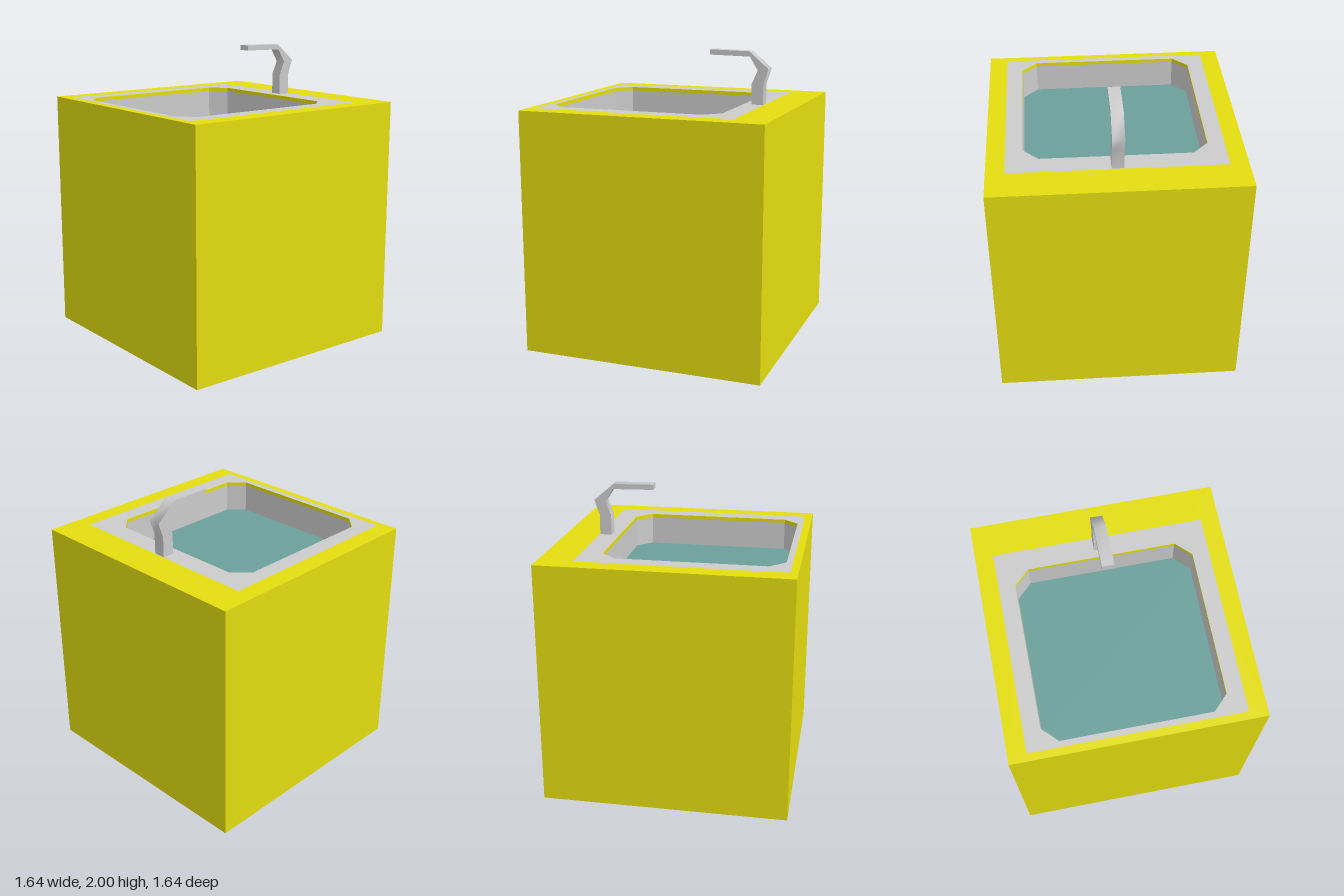
import * as THREE from 'three';
import { toCreasedNormals } from 'three/addons/utils/BufferGeometryUtils.js';

const HALF = 0.82, TOP = 1.64, BASIN_Z = 0.14, FLOOR = 1.42, LIP = 0.025;

const material = (color) => new THREE.MeshStandardMaterial({ color });
const yellow = material(0xe4dd10);
const grey = material(0xcccccc);
const teal = material(0x6b9f9a);

// Rectangle with clipped corners in plan; plan y is -z
function plan(halfW, halfD, centreZ, cut = 0) {
  const corners = [[1, -1], [1, 1], [-1, 1], [-1, -1]];
  const points = [];
  corners.forEach(([sx, sy], i) => {
    const a = new THREE.Vector2(sx * (halfW - cut), sy * halfD - centreZ);
    const b = new THREE.Vector2(sx * halfW, sy * (halfD - cut) - centreZ);
    if (cut === 0) points.push(a);
    else points.push(...(i % 2 ? [b, a] : [a, b]));
  });
  return points;
}

const basin = (grow = 0) => plan(0.59 + grow, 0.59 + grow, BASIN_Z, 0.1);

// Plan shape with an optional hole, laid flat or raised to a height
function slab(outline, hole, height = 0) {
  const shape = new THREE.Shape(outline);
  if (hole) shape.holes.push(new THREE.Path(hole));
  const geometry = height
    ? new THREE.ExtrudeGeometry(shape, { depth: height, bevelEnabled: false })
    : new THREE.ShapeGeometry(shape);
  return geometry.rotateX(-Math.PI / 2);
}

export function createModel() {
  const model = new THREE.Group();
  const add = (name, geometry, mat, y = 0) => {
    const mesh = new THREE.Mesh(geometry, mat);
    mesh.name = name;
    mesh.position.y = y;
    model.add(mesh);
  };

  // Cabinet sides and bottom: a box without its top face
  const box = new THREE.BoxGeometry(2 * HALF, TOP, 2 * HALF);
  const index = Array.from(box.index.array);
  index.splice(12, 6);
  box.setIndex(index);
  box.clearGroups();
  add('cabinet', box, yellow, TOP / 2);

  // Worktop with the basin opening and its thin cut edge
  add('worktop', slab(plan(HALF, HALF, 0), basin()), yellow, TOP);
  add('worktopEdge', slab(basin(0.01), basin(), LIP), yellow, TOP - LIP);

  // Sink: flat rim, upright walls and coloured floor
  add('sinkRim', slab(plan(0.7, 0.68, 0.09), basin()), grey, TOP + 0.002);
  add('sinkWalls', slab(basin(0.01), basin(), TOP - LIP - FLOOR), grey, FLOOR);
  add('sinkFloor', slab(basin()), teal, FLOOR + 0.001);

  // Tap: bent side profile (z, y) extruded across its width
  const profile = [
    [-0.585, 1.64], [-0.585, 1.78], [-0.62, 1.88], [-0.485, 1.995], [-0.21, 2],
    [-0.21, 1.965], [-0.49, 1.96], [-0.545, 1.87], [-0.505, 1.78], [-0.505, 1.64],
  ].map(([z, y]) => new THREE.Vector2(-z, y));
  const tap = new THREE.ExtrudeGeometry(new THREE.Shape(profile), { depth: 0.08, bevelEnabled: false });
  tap.translate(0, 0, -0.04).rotateY(Math.PI / 2);
  add('tap', toCreasedNormals(tap, 1.25), grey);

  return model;
}
